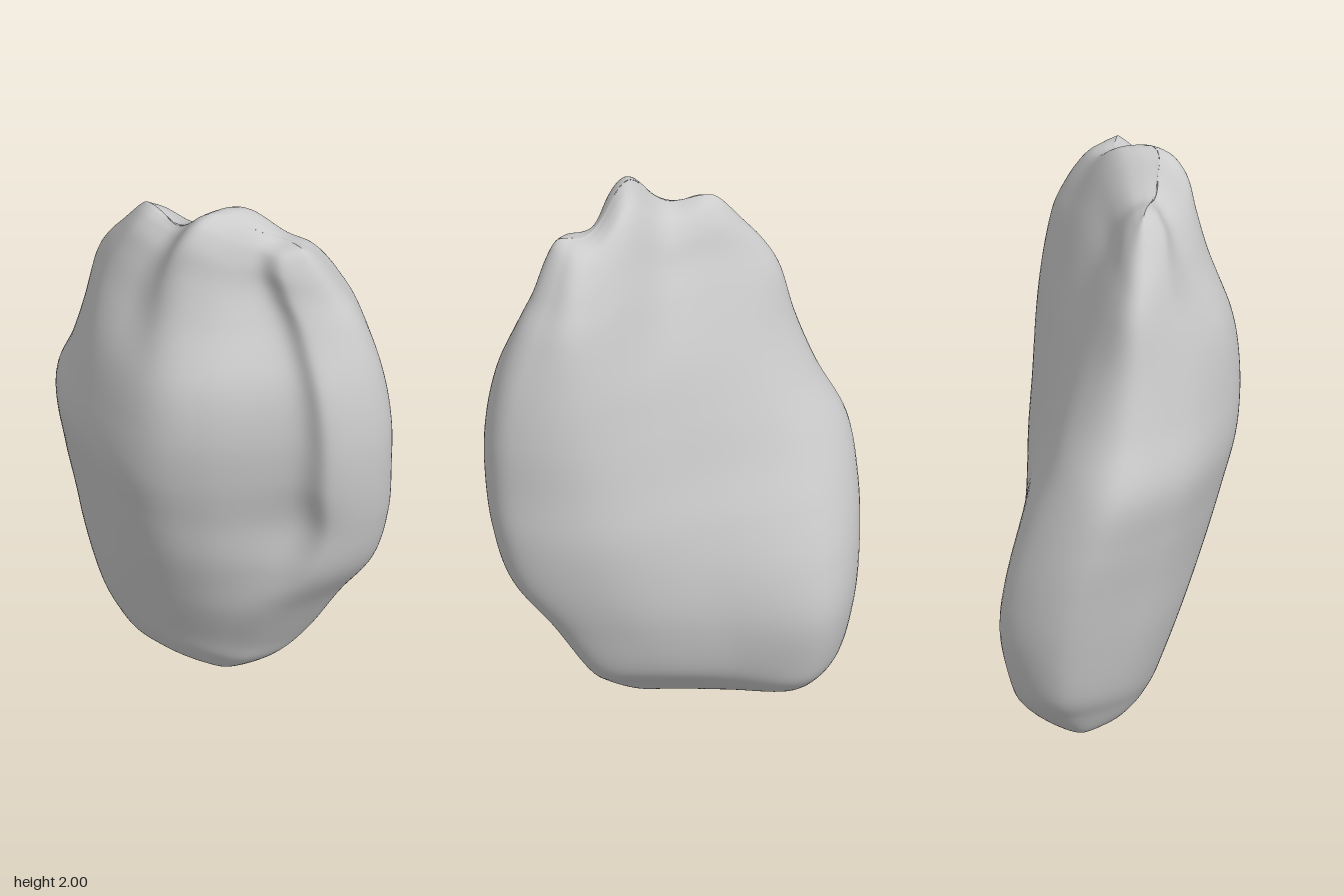
import * as THREE from 'three';

const { lerp, smoothstep } = THREE.MathUtils;

// Levels: y, back z, front z, left-hand x, right x at front, right x at back, crease depth, thickness factor
const LEVELS = [
  [0.005, -0.42, 0.08, -0.02, 0.08, 0.12, 0, 0],
  [0.02, -0.46, 0.13, -0.07, 0.11, 0.16, 0, 1],
  [0.10, -0.53, 0.24, -0.13, 0.19, 0.26, 0, 1],
  [0.20, -0.59, 0.31, -0.17, 0.28, 0.295, 0, 1],
  [0.40, -0.635, 0.43, -0.235, 0.335, 0.325, 0.1, 1],
  [0.60, -0.655, 0.57, -0.29, 0.37, 0.295, 0.6, 1],
  [0.80, -0.655, 0.63, -0.34, 0.39, 0.225, 1, 1],
  [1.00, -0.625, 0.655, -0.385, 0.385, 0.145, 1, 1],
  [1.20, -0.525, 0.655, -0.385, 0.38, 0.10, 1, 1],
  [1.40, -0.45, 0.62, -0.355, 0.36, 0.05, 1, 1],
  [1.60, -0.40, 0.55, -0.285, 0.32, -0.01, 1, 1],
  [1.72, -0.34, 0.49, -0.25, 0.27, -0.04, 1, 1],
  [1.81, -0.27, 0.45, -0.22, 0.22, -0.05, 1, 1],
  [1.865, -0.22, 0.42, -0.19, 0.19, -0.06, 1, 0.85],
  [1.89, -0.19, 0.40, -0.17, 0.17, -0.07, 1, 0.5],
  [1.90, -0.17, 0.385, -0.16, 0.16, -0.08, 1, 0],
];

// Height and sideways position of the three-lobed crest along z
const bump = (z, at, width) => Math.exp(-(((z - at) / width) ** 2));
const crestY = (z) =>
  1.87 + 0.13 * bump(z, 0.14, 0.1) + 0.03 * bump(z, 0.38, 0.1) + 0.035 * bump(z, -0.14, 0.1);
const crestX = (z) => lerp(-0.11, 0.1, smoothstep(z, 0.08, 0.33));

// Control ring of one level: flat right face, rounded front lobe, crease, full left side, back edge
function controlRing([y, zb, zf, xl, xf, xb, c, s]) {
  const across = (k) => lerp(xl, xf, k);
  const top = smoothstep(y, 1.3, 1.85);
  const points = [
    [xf, lerp(0.74, 0.8, top)],
    [across(0.94), 0.94],
    [across(0.78), 1],
    [across(lerp(0.42, 0.55, c)), lerp(0.96, 0.91, top)],
    [across(lerp(0.22, 0.48, c)), lerp(0.85, 0.76, top)],
    [across(lerp(0.08, 0.16, c)), lerp(0.7, 0.64, top)],
    [xl + 0.004, lerp(0.56, 0.49, top)],
    [xl + 0.004 + 0.04 * top, lerp(0.37, 0.3, top)],
    [lerp(xl, xb, lerp(0.18, 0.22, top)), lerp(0.16, 0.12, top)],
    [lerp(xl, xb, 0.58), 0],
    [xb, lerp(0.12, 0.09, top)],
    [lerp(xb, xf, lerp(0.54, 0.36, top)), 0.46],
  ];
  return points.map(([x, t]) => {
    const z = lerp(zb, zf, t);
    return new THREE.Vector3(lerp(y < 1 ? 0.04 : crestX(z), x, s), y, z);
  });
}

// Skin smooth rings between the control rings, raise the top into the crest and close it there
function bodyGeometry(rows = 120, cols = 120) {
  const rings = LEVELS.map(controlRing);
  const rails = rings[0].map(
    (_, j) => new THREE.CatmullRomCurve3(rings.map((r) => r[j]), false, 'catmullrom', 0.5)
  );
  const positions = [];
  const index = [];
  for (let i = 0; i <= rows; i++) {
    const ring = new THREE.CatmullRomCurve3(
      rails.map((rail) => rail.getPoint(i / rows)), true, 'catmullrom', 0.5
    );
    for (let j = 0; j < cols; j++) {
      const p = ring.getPoint(j / cols);
      const x = i === rows ? crestX(p.z) : p.x;
      const y = p.y + smoothstep(p.y, 1.4, 1.9) * (crestY(p.z) - 1.9);
      positions.push(x, Math.max(y, 0), p.z);
      if (i === rows) continue;
      const a = i * cols + j;
      const b = i * cols + ((j + 1) % cols);
      index.push(a, a + cols, b, b, a + cols, b + cols);
    }
  }
  const geometry = new THREE.BufferGeometry();
  geometry.setAttribute('position', new THREE.Float32BufferAttribute(positions, 3));
  geometry.setIndex(index);
  geometry.computeVertexNormals();
  return geometry;
}

export function createModel() {
  const group = new THREE.Group();
  const body = new THREE.Mesh(
    bodyGeometry(),
    new THREE.MeshStandardMaterial({ color: 0xcccccc, side: THREE.DoubleSide })
  );
  body.name = 'lobedBody';
  group.add(body);
  return group;
}
